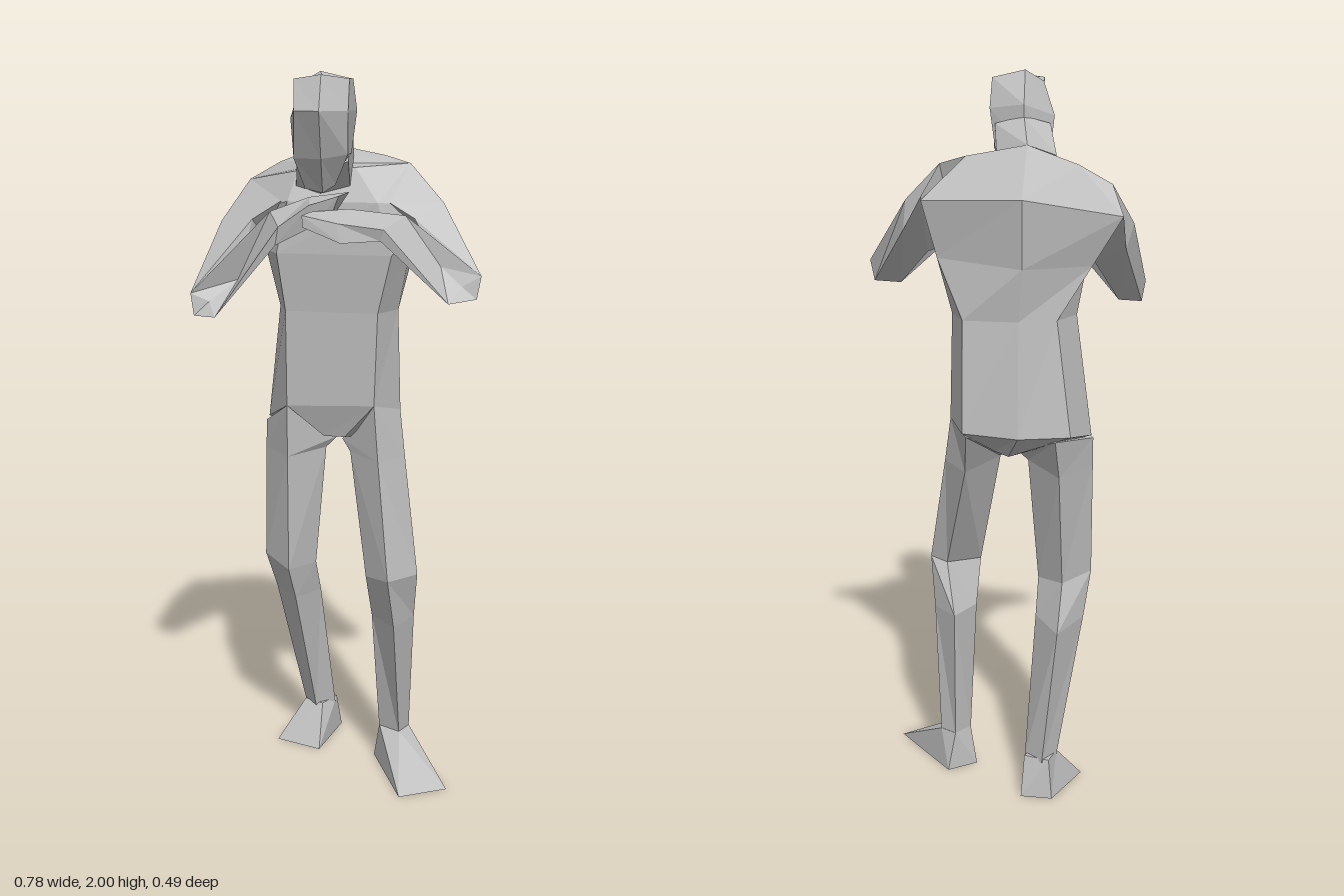
import * as THREE from 'three';

const grey = new THREE.MeshStandardMaterial({ color: 0xbcbcbc, flatShading: true });
grey.name = 'plainGrey';

// Closed faceted loft through rings of [x, y, z] points, capped at both ends.
function loft(name, rings) {
  const n = rings[0].length, tris = [];
  for (let r = 0; r < rings.length - 1; r++) {
    for (let i = 0; i < n; i++) {
      const j = (i + 1) % n, a = rings[r], b = rings[r + 1];
      tris.push([a[i], a[j], b[j]], [a[i], b[j], b[i]]);
    }
  }
  const cap = (ring, flip) => {
    const c = [0, 1, 2].map(k => ring.reduce((s, p) => s + p[k], 0) / n);
    for (let i = 0; i < n; i++) {
      const p = ring[i], q = ring[(i + 1) % n];
      tris.push(flip ? [c, q, p] : [c, p, q]);
    }
  };
  cap(rings[0], true);
  cap(rings[rings.length - 1], false);
  // Turn the faces outward if the enclosed volume is negative
  const v = p => new THREE.Vector3(...p);
  const volume = tris.reduce((s, [a, b, c]) => s + v(a).dot(v(b).cross(v(c))), 0);
  if (volume < 0) tris.forEach(t => t.reverse());
  const geo = new THREE.BufferGeometry();
  geo.setAttribute('position', new THREE.Float32BufferAttribute(tris.flat(2), 3));
  geo.computeVertexNormals();
  const mesh = new THREE.Mesh(geo, grey);
  mesh.name = name;
  return mesh;
}

export function createModel() {
  const model = new THREE.Group();
  model.name = 'standingFigure';
  const add = (name, ...rings) => model.add(loft(name, rings));

  // Torso, crotch to shoulders: front right/left, left side, back left/middle/right, right side
  add('torso',
    [[-.06, 1, 0], [0, 1, 0], [.02, .99, -.06], [.02, .99, -.13], [-.02, .98, -.15], [-.07, .99, -.13], [-.07, .99, -.06]],
    [[-.16, 1.09, .03], [.09, 1.1, .03], [.145, 1.07, -.08], [.10, 1.06, -.215], [-.05, 1.05, -.23], [-.19, 1.05, -.2], [-.245, 1.03, -.09]],
    [[-.16, 1.36, .035], [.10, 1.36, .035], [.14, 1.36, -.06], [.10, 1.36, -.18], [-.05, 1.36, -.2], [-.15, 1.36, -.17], [-.2, 1.36, -.06]],
    [[-.18, 1.52, .05], [.14, 1.52, .05], [.18, 1.55, -.03], [.17, 1.52, -.14], [-.06, 1.5, -.215], [-.24, 1.5, -.13], [-.23, 1.52, -.03]],
    [[-.15, 1.66, .04], [.1, 1.66, .045], [.23, 1.65, -.02], [.21, 1.67, -.15], [-.06, 1.68, -.235], [-.32, 1.63, -.13], [-.3, 1.62, -.03]],
    [[-.13, 1.74, 0], [.03, 1.75, 0], [.17, 1.76, -.06], [.1, 1.78, -.07], [-.065, 1.81, -.09], [-.2, 1.76, -.085], [-.29, 1.71, -.085]]);

  // Neck leaning forward into the head
  add('neck',
    [[-.065, 1.81, -.09], [.02, 1.78, -.03], [.02, 1.7, .02], [-.06, 1.68, .03], [-.13, 1.7, .02], [-.14, 1.78, -.03]],
    [[-.05, 1.88, .02], [.03, 1.86, .04], [.03, 1.77, .09], [-.05, 1.74, .1], [-.11, 1.77, .09], [-.12, 1.86, .05]]);

  // Head, chin to crown: back, back left, front left, nose line, front right, back right
  add('head',
    [[-.05, 1.71, .07], [-.02, 1.71, .075], [0, 1.71, .11], [-.03, 1.69, .13], [-.08, 1.7, .12], [-.09, 1.71, .08]],
    [[-.05, 1.8, .015], [.03, 1.79, .05], [.04, 1.79, .14], [-.02, 1.78, .19], [-.1, 1.78, .16], [-.12, 1.79, .06]],
    [[-.05, 1.91, .015], [.045, 1.9, .05], [.045, 1.9, .16], [-.012, 1.9, .245], [-.085, 1.9, .215], [-.13, 1.88, .075]],
    [[-.05, 2, .065], [.04, 1.98, .075], [.043, 1.98, .135], [-.02, 1.99, .185], [-.1, 1.98, .155], [-.1, 1.97, .08]]);

  // Arms: rings run top, back, bottom, front; elbow rings are shared
  const elbowL = [[.39, 1.48, .105], [.38, 1.42, .115], [.31, 1.41, .15], [.28, 1.5, .09]];
  const elbowR = [[-.39, 1.42, .165], [-.38, 1.36, .17], [-.315, 1.36, .19], [-.28, 1.45, .085]];
  add('leftUpperArm',
    [[.17, 1.76, -.06], [.21, 1.68, -.15], [.17, 1.54, -.08], [.13, 1.66, .03]],
    [[.27, 1.66, -.01], [.275, 1.58, -.03], [.21, 1.52, -.01], [.2, 1.62, .04]],
    elbowL);
  add('rightUpperArm',
    [[-.29, 1.71, -.085], [-.32, 1.63, -.13], [-.22, 1.52, -.06], [-.17, 1.66, .03]],
    [[-.35, 1.6, 0], [-.33, 1.53, -.02], [-.24, 1.5, .01], [-.25, 1.61, .04]],
    elbowR);
  add('leftForearmAndHand',
    elbowL,
    [[.18, 1.63, .065], [.15, 1.59, .07], [.13, 1.57, .155], [.14, 1.6, .16]],
    [[.04, 1.65, .13], [.03, 1.57, .14], [.04, 1.57, .23], [.03, 1.62, .225]],
    [[-.05, 1.645, .18], [-.06, 1.62, .2], [-.06, 1.61, .235], [-.06, 1.64, .235]]);
  add('rightForearmAndHand',
    elbowR,
    [[-.19, 1.635, .075], [-.2, 1.58, .07], [-.16, 1.55, .135], [-.15, 1.6, .14]],
    [[-.08, 1.675, .075], [-.08, 1.6, .08], [-.06, 1.6, .15], [-.06, 1.66, .16]],
    [[.03, 1.69, .08], [0, 1.64, .1], [0, 1.64, .15], [.02, 1.685, .16]]);

  // Legs, hip to ankle: front, outer, back, inner
  add('leftLeg',
    [[.09, 1.1, .03], [.145, 1.07, -.08], [.09, 1.05, -.215], [-.02, .98, -.06]],
    [[.11, .95, .07], [.165, .94, -.05], [.1, .93, -.14], [.01, .95, -.03]],
    [[.155, .63, .15], [.22, .62, .04], [.17, .61, .015], [.075, .61, .06]],
    [[.165, .48, .105], [.205, .48, 0], [.14, .48, -.08], [.085, .48, .02]],
    [[.165, .1, 0], [.185, .1, -.05], [.14, .1, -.08], [.1, .1, -.03]]);
  add('rightLeg',
    [[-.16, 1.09, .03], [-.25, 1.02, -.08], [-.15, 1.04, -.215], [-.04, .98, -.08]],
    [[-.16, .94, .03], [-.25, .94, -.07], [-.16, .93, -.18], [-.07, .95, -.07]],
    [[-.16, .6, .03], [-.25, .62, -.05], [-.17, .61, -.135], [-.1, .6, -.06]],
    [[-.15, .5, -.01], [-.23, .5, -.1], [-.16, .49, -.215], [-.095, .5, -.1]],
    [[-.12, .1, -.135], [-.16, .1, -.17], [-.12, .1, -.225], [-.07, .1, -.18]]);

  // Wedge feet, splayed outward: front, outer, back, inner
  add('leftFoot',
    [[.165, .11, 0], [.185, .11, -.05], [.14, .11, -.08], [.1, .11, -.03]],
    [[.2, 0, .19], [.325, 0, .115], [.16, 0, -.1], [.08, 0, -.05]]);
  add('rightFoot',
    [[-.1, .11, -.135], [-.16, .11, -.16], [-.14, .11, -.225], [-.07, .11, -.2]],
    [[-.09, 0, -.045], [-.23, 0, -.085], [-.15, 0, -.243], [-.062, 0, -.235]]);

  return model;
}
